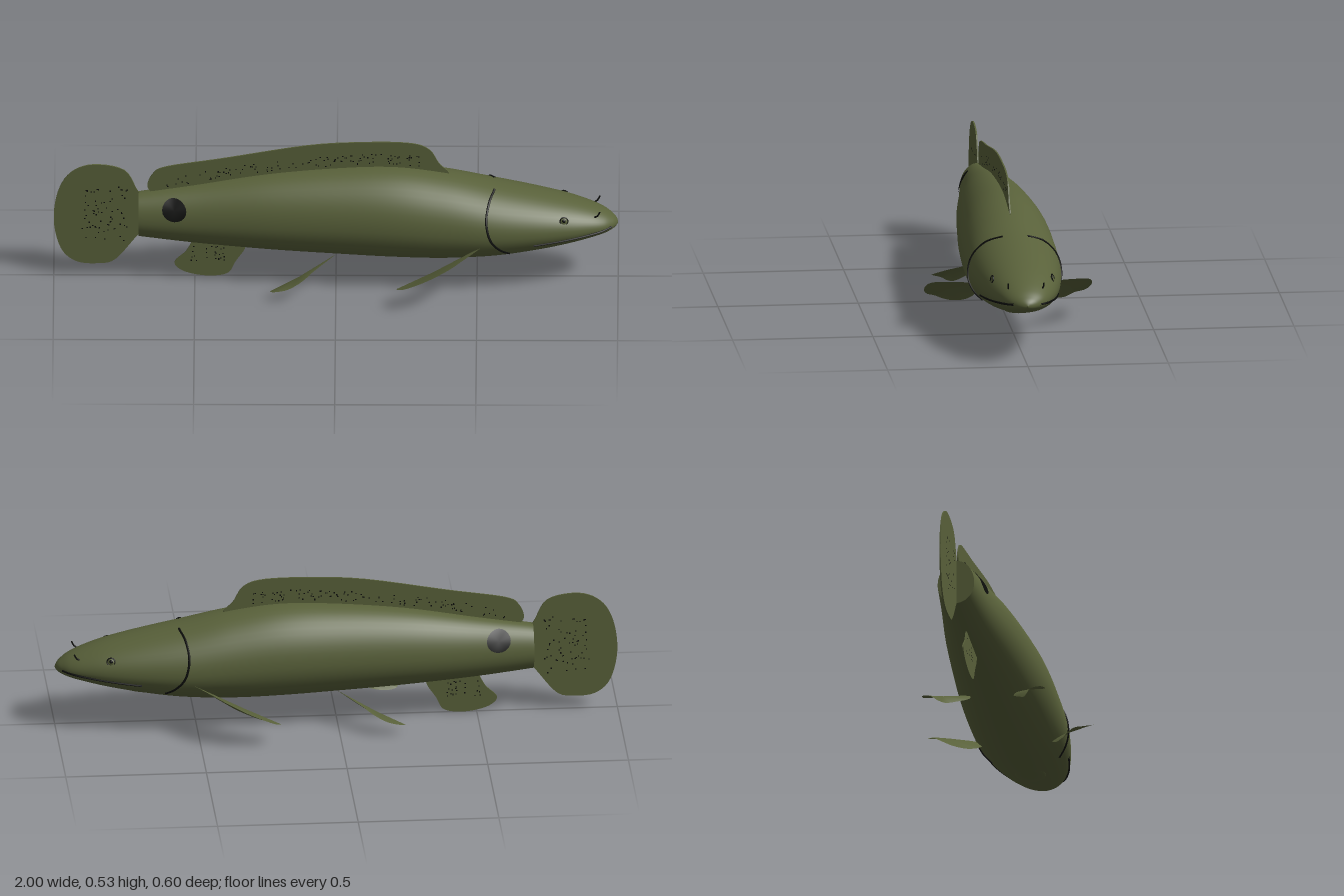
import * as THREE from 'three';

const mat = (name, color, side = THREE.FrontSide) =>
  Object.assign(new THREE.MeshStandardMaterial({ color, side }), { name });

// Body stations: x, top, bottom, half width
const STATIONS = [
  [-0.70, 0.33, 0.165, 0.066], [-0.5, 0.362, 0.142, 0.09], [-0.25, 0.405, 0.122, 0.124],
  [0, 0.43, 0.108, 0.148], [0.2, 0.436, 0.099, 0.163], [0.38, 0.414, 0.097, 0.168],
  [0.55, 0.377, 0.108, 0.165], [0.7, 0.345, 0.13, 0.147], [0.82, 0.316, 0.154, 0.122],
  [0.9, 0.29, 0.174, 0.095], [0.95, 0.268, 0.188, 0.07], [0.98, 0.248, 0.2, 0.042],
  [0.994, 0.234, 0.209, 0.02], [1, 0.222, 0.218, 0.001],
];
const curves = [1, 2, 3].map(k => new THREE.SplineCurve(STATIONS.map(s => new THREE.Vector2(s[0], s[k]))));

// Cross-section of the body at curve parameter u
function section(u) {
  const [t, b, w] = curves.map(c => c.getPoint(u));
  const mid = b.y + (t.y - b.y) * 0.45;
  return { x: t.x, mid, up: t.y - mid, down: mid - b.y, w: w.y };
}
function sectionAtX(x) {
  let lo = 0, hi = 1;
  for (let i = 0; i < 24; i++) {
    const m = (lo + hi) / 2;
    if (curves[0].getPoint(m).x < x) lo = m; else hi = m;
  }
  return section(lo);
}
// Point on the skin at (x, y), raised by lift, on side +1 or -1 of z
function onSkin(x, y, side, lift = 0) {
  const s = sectionAtX(x), r = y > s.mid ? s.up : s.down;
  const d = THREE.MathUtils.clamp((y - s.mid) / r, -1, 1);
  const z = s.w * Math.sqrt(1 - d * d);
  const n = new THREE.Vector3(0, d / r, z / (s.w * s.w)).normalize();
  return new THREE.Vector3(x, y + n.y * lift, side * (z + n.z * lift));
}

function surface(positions, index) {
  const g = new THREE.BufferGeometry();
  g.setAttribute('position', new THREE.Float32BufferAttribute(positions, 3));
  g.setIndex(index);
  g.computeVertexNormals();
  return g;
}

function bodyGeometry() {
  const rows = 90, cols = 48, pos = [], idx = [];
  for (let i = 0; i <= rows; i++) {
    const s = section(i / rows);
    for (let j = 0; j < cols; j++) {
      const a = j / cols * Math.PI * 2, sn = Math.sin(a);
      pos.push(s.x, s.mid + sn * (sn > 0 ? s.up : s.down), s.w * Math.cos(a));
      if (i < rows) {
        const p = i * cols + j, q = i * cols + (j + 1) % cols;
        idx.push(p, p + cols, q, q, p + cols, q + cols);
      }
    }
  }
  return surface(pos, idx);
}

// Fan of triangles around a centre point
function fan(centre, rim) {
  const pos = [...centre.toArray(), ...rim.flatMap(p => p.toArray())], idx = [];
  rim.forEach((_, i) => idx.push(0, i + 1, (i + 1) % rim.length + 1));
  return surface(pos, idx);
}

// Thin upright fin in the x-y plane
function uprightFin(points) {
  const outline = new THREE.SplineCurve(points.map(p => new THREE.Vector2(...p))).getPoints(60);
  const g = new THREE.ExtrudeGeometry(new THREE.Shape(outline), { depth: 0.005, bevelEnabled: false });
  return g.translate(0, 0, -0.0025);
}

// Paddle fin from a closed 3D outline, slightly cupped
function paddleFin(points, side) {
  const rim = new THREE.CatmullRomCurve3(points.map(([x, y, z]) => new THREE.Vector3(x, y, z * side)), true).getPoints(40).slice(0, -1);
  const c = rim.reduce((a, p) => a.add(p), new THREE.Vector3()).divideScalar(rim.length);
  c.y += 0.008;
  return fan(c, rim);
}

export function createModel() {
  const olive = mat('olive skin', 0x59613a);
  const finOlive = mat('fin olive', 0x59613a, THREE.DoubleSide);
  const black = mat('black markings', 0x0c0d0b, THREE.DoubleSide);
  const fish = new THREE.Group();
  fish.name = 'fish';
  const add = (name, geometry, material) => {
    const m = new THREE.Mesh(geometry, material);
    m.name = name;
    fish.add(m);
    return m;
  };

  add('body', bodyGeometry(), olive);
  const end = section(0), cap = [];
  for (let j = 0; j < 48; j++) {
    const a = j / 48 * Math.PI * 2, sn = Math.sin(a);
    cap.push(new THREE.Vector3(end.x, end.mid + sn * (sn > 0 ? end.up : end.down), end.w * Math.cos(a)));
  }
  add('tailStump', fan(new THREE.Vector3(end.x, end.mid, 0), cap), finOlive);

  // Upright fins
  add('tailFin', uprightFin([[-0.66, 0.31], [-0.7, 0.335], [-0.75, 0.42], [-0.86, 0.442], [-0.94, 0.41],
    [-0.985, 0.335], [-1, 0.22], [-0.975, 0.11], [-0.92, 0.058], [-0.84, 0.05], [-0.78, 0.068],
    [-0.7, 0.165], [-0.66, 0.19]]), finOlive);
  add('dorsalFin', uprightFin([[-0.64, 0.32], [-0.668, 0.355], [-0.65, 0.405], [-0.6, 0.435], [-0.4, 0.468],
    [-0.1, 0.52], [0.1, 0.533], [0.26, 0.53], [0.33, 0.505], [0.365, 0.45], [0.4, 0.405], [0.3, 0.395],
    [0, 0.4], [-0.3, 0.37]]), finOlive);
  add('analFin', uprightFin([[-0.5, 0.16], [-0.53, 0.1], [-0.572, 0.055], [-0.54, 0.02], [-0.46, 0.002],
    [-0.385, 0.012], [-0.355, 0.06], [-0.32, 0.12], [-0.35, 0.16]]), finOlive);

  const pectoral = [[0.52, 0.19, 0.14], [0.45, 0.182, 0.235], [0.4, 0.168, 0.282], [0.32, 0.13, 0.298],
    [0.235, 0.088, 0.28], [0.215, 0.076, 0.25], [0.23, 0.07, 0.228], [0.28, 0.074, 0.2],
    [0.36, 0.095, 0.16], [0.44, 0.135, 0.13]];
  const pelvic = [[0, 0.13, 0.085], [-0.08, 0.098, 0.16], [-0.12, 0.078, 0.198], [-0.17, 0.057, 0.22],
    [-0.22, 0.042, 0.21], [-0.233, 0.031, 0.18], [-0.21, 0.026, 0.163], [-0.16, 0.035, 0.143],
    [-0.1, 0.065, 0.112], [-0.03, 0.105, 0.08]];
  const gill = [[0.562, 0.369], [0.543, 0.345], [0.533, 0.29], [0.548, 0.225], [0.58, 0.182], [0.615, 0.155]];
  const mouth = [[0.7, 0.192], [0.8, 0.202], [0.88, 0.211], [0.94, 0.218], [0.976, 0.222]];

  for (const side of [1, -1]) {
    const label = side > 0 ? 'Front' : 'Back';
    add('pectoralFin' + label, paddleFin(pectoral, side), finOlive);
    add('pelvicFin' + label, paddleFin(pelvic, side), finOlive);

    // Lines on the head
    const line = (name, pts, r) => add(name + label, new THREE.TubeGeometry(
      new THREE.CatmullRomCurve3(pts.map(p => onSkin(p[0], p[1], side, 0.001))), 48, r, 6), black);
    line('gillLine', gill, 0.0042);
    line('mouthLine', mouth, 0.004);

    // Dark spot near the tail
    const rim = [];
    for (let i = 0; i < 20; i++) {
      const a = i / 20 * Math.PI * 2;
      rim.push(onSkin(-0.573 + 0.043 * Math.cos(a), 0.293 + 0.038 * Math.sin(a), side, 0.004));
    }
    add('tailSpot' + label, fan(onSkin(-0.573, 0.293, side, 0.004), rim), black);

    // Eye: dark ring, olive ball, pupil
    const facing = new THREE.Vector3(0.22, 0.25, side).normalize();
    const place = (m, x, y, lift) => {
      m.position.copy(onSkin(x, y, side, lift));
      m.quaternion.setFromUnitVectors(new THREE.Vector3(0, 0, 1), facing);
    };
    place(add('eyeRing' + label, new THREE.TorusGeometry(0.014, 0.0025, 6, 20), black), 0.808, 0.274, 0.001);
    place(add('eye' + label, new THREE.SphereGeometry(0.013, 16, 10).scale(1, 1, 0.5), olive), 0.808, 0.274, 0);
    place(add('pupil' + label, new THREE.SphereGeometry(0.007, 12, 8).scale(1, 1, 0.5), black), 0.808, 0.274, 0.005);

    // Short nostril tube
    const base = onSkin(0.915, 0.268, side, -0.003);
    add('nostril' + label, new THREE.TubeGeometry(new THREE.CatmullRomCurve3([base,
      base.clone().add(new THREE.Vector3(0.012, 0.008, side * 0.003)),
      base.clone().add(new THREE.Vector3(0.02, 0.023, side * 0.004))]), 8, 0.003, 6), black);
  }

  // Chin pad and upper lip
  add('chinPad', new THREE.SphereGeometry(1, 24, 12).scale(0.09, 0.014, 0.055).rotateZ(0.16).translate(0.7, 0.139, 0), olive);
  add('lip', new THREE.SphereGeometry(1, 16, 10).scale(0.012, 0.005, 0.014).translate(0.987, 0.222, 0), olive);

  // Fine speckles on the upright fins
  let seed = 7;
  const rand = () => (seed = (seed * 16807) % 2147483647) / 2147483647;
  const speckles = new THREE.InstancedMesh(new THREE.CircleGeometry(0.0028, 6), black, 0);
  const pos = [], idx = [];
  const speck = (x, y) => {
    for (const z of [0.0032, -0.0032]) {
      const k = pos.length / 3, r = 0.0022;
      pos.push(x - r, y - r, z, x + r, y - r, z, x + r, y + r, z, x - r, y + r, z);
      idx.push(k, k + 1, k + 2, k, k + 2, k + 3);
    }
  };
  for (let i = 0; i < 70; i++) speck(-0.74 - rand() * 0.16, 0.14 + rand() * 0.22);
  for (let i = 0; i < 110; i++) {
    const x = -0.6 + rand() * 0.9;
    speck(x, sectionAtX(x).mid + sectionAtX(x).up + 0.01 + rand() * 0.04);
  }
  for (let i = 0; i < 25; i++) speck(-0.52 + rand() * 0.13, 0.06 + rand() * 0.06);
  speckles.dispose();
  add('finSpeckles', surface(pos, idx), black);

  return fish;
}
